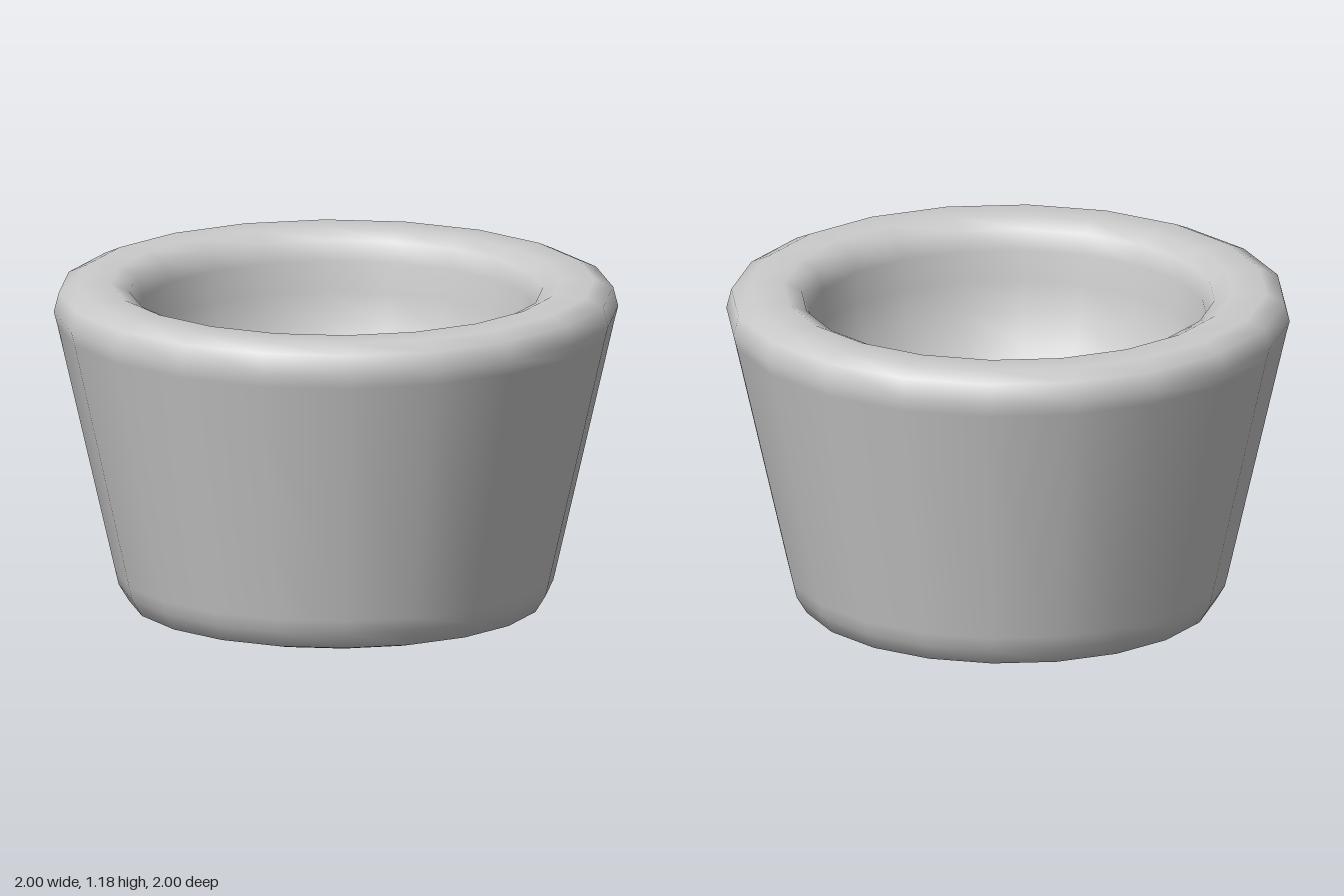
import * as THREE from 'three';

const SIDES = 20;
const BOWL_RADIUS = 0.71;
const BOWL_CENTER_Y = 1.08;

export function createModel() {
  const group = new THREE.Group();
  group.name = 'cup';
  const material = new THREE.MeshStandardMaterial({ color: 0xcccccc });

  // Base, tapered wall and rounded rim; doubled-up points keep flat areas flat in shading
  const profile = [
    [0, 0], [0.66, 0], [0.735, 0.02], [0.772, 0.08], [0.784, 0.13],
    [0.99, 1.03], [1.003, 1.08], [0.985, 1.15], [0.92, 1.18],
    [0.8, 1.18], [0.735, 1.15],
  ].map(([r, y]) => new THREE.Vector2(r, y));

  // Hemispherical hollow, from the rim down to its centre
  const steps = 10;
  for (let i = 0; i <= steps; i++) {
    const a = (i / steps) * Math.PI / 2;
    const r = i === steps ? 0 : BOWL_RADIUS * Math.cos(a);
    profile.push(new THREE.Vector2(r, BOWL_CENTER_Y - BOWL_RADIUS * Math.sin(a)));
  }

  const start = THREE.MathUtils.degToRad(-4.5);
  const body = new THREE.Mesh(new THREE.LatheGeometry(profile, SIDES, start), material);
  body.name = 'cupBody';
  group.add(body);
  return group;
}
